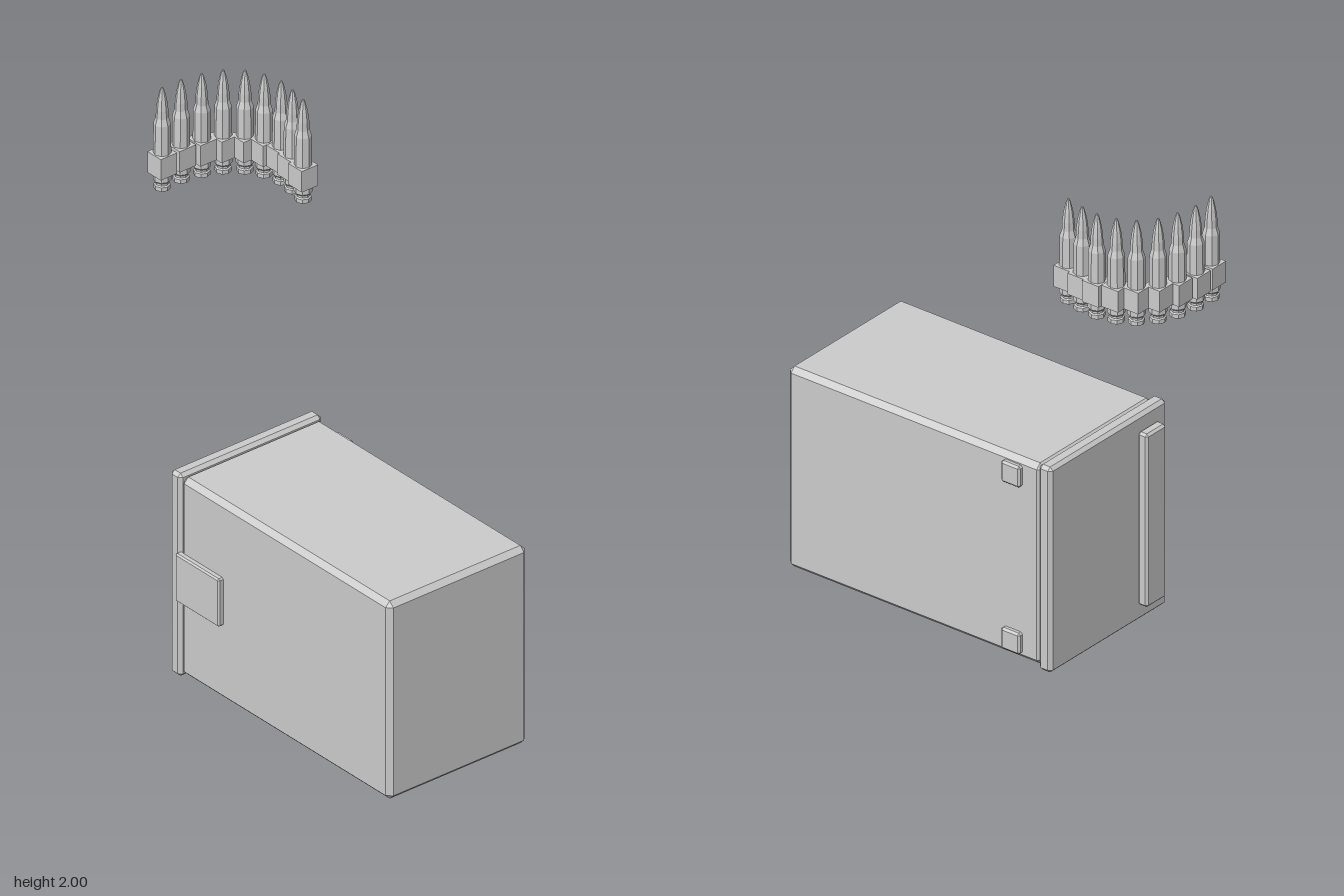
import * as THREE from 'three';
import { ConvexGeometry } from 'three/addons/geometries/ConvexGeometry.js';

const material = new THREE.MeshStandardMaterial({ color: 0xcccccc, flatShading: true });

// Box between two corners with every edge chamfered by c
function chamferBox(name, min, max, c) {
  const points = [];
  for (const i of [0, 1]) for (const j of [0, 1]) for (const k of [0, 1]) {
    const side = [i, j, k];
    const corner = side.map((s, a) => (s ? max[a] : min[a]));
    const inner = side.map((s, a) => (s ? max[a] - c : min[a] + c));
    // one point per face meeting at this corner
    for (let a = 0; a < 3; a++) {
      const p = [...inner];
      p[a] = corner[a];
      points.push(new THREE.Vector3(...p));
    }
  }
  const mesh = new THREE.Mesh(new ConvexGeometry(points), material);
  mesh.name = name;
  return mesh;
}

export function createModel() {
  const model = new THREE.Group();
  model.name = 'ammoBox';

  // Can lying on its side, lid facing the back
  model.add(chamferBox('body', [-0.378, 0.015, -0.272], [0.256, 0.82, 0.87], 0.02));
  model.add(chamferBox('lid', [-0.386, 0.005, -0.322], [0.264, 0.83, -0.264], 0.013));
  model.add(chamferBox('handle', [-0.335, 0.07, -0.362], [-0.225, 0.765, -0.318], 0.009));
  model.add(chamferBox('latch', [-0.4, 0.32, -0.276], [-0.37, 0.515, -0.037], 0.006));
  for (const y of [0.04, 0.71]) {
    model.add(chamferBox('hinge', [0.24, y, -0.19], [0.276, y + 0.085, -0.105], 0.008));
  }

  // Cartridge: rim, groove, case, shoulder, neck and pointed bullet
  const profile = [
    [0, 1.59], [0.03, 1.59], [0.03, 1.606], [0.025, 1.61], [0.025, 1.618], [0.033, 1.626],
    [0.031, 1.853], [0.023, 1.878], [0.022, 1.91], [0.017, 1.95], [0.009, 1.985], [0.004, 1.998], [0, 2],
  ].map(([r, y]) => new THREE.Vector2(r, y));
  const cartridgeGeometry = new THREE.LatheGeometry(profile, 8);
  const linkGeometry = new THREE.BoxGeometry(0.074, 0.085, 0.074);

  // Belt curving round from the back to the left
  const belt = new THREE.Group();
  belt.name = 'ammoBelt';
  const stations = [
    [0.01, -0.838], [0.096, -0.838], [0.177, -0.822], [0.25, -0.793], [0.308, -0.743],
    [0.343, -0.68], [0.358, -0.605], [0.35, -0.533], [0.337, -0.46],
  ];
  for (const [x, z] of stations) {
    const cartridge = new THREE.Mesh(cartridgeGeometry, material);
    cartridge.name = 'cartridge';
    cartridge.position.set(x, 0, z);
    const link = new THREE.Mesh(linkGeometry, material);
    link.name = 'beltLink';
    link.position.set(x, 1.692, z);
    belt.add(cartridge, link);
  }
  model.add(belt);

  // Rest the lid edge on the ground
  model.position.y = -0.005;
  return model;
}
